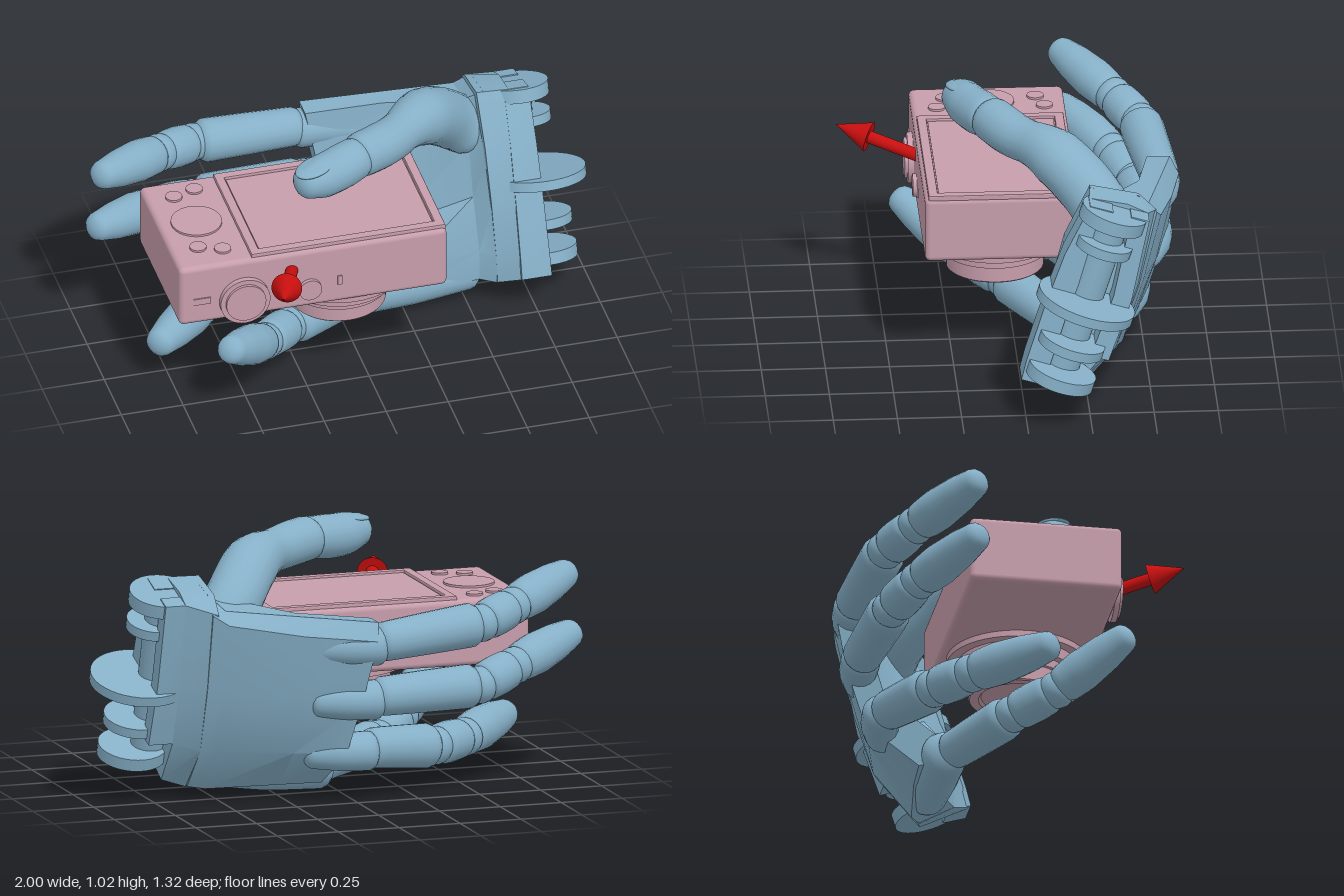
import * as THREE from 'three';
import { toCreasedNormals } from 'three/addons/utils/BufferGeometryUtils.js';
import { RoundedBoxGeometry } from 'three/addons/geometries/RoundedBoxGeometry.js';

const V = (x, y, z) => new THREE.Vector3(x, y, z);
const mat = (color) => new THREE.MeshStandardMaterial({ color });
const handMat = mat(0x86b0c8), cameraMat = mat(0xc69dab), arrowMat = mat(0xc80f0f);

function add(parent, name, geometry, material, x = 0, y = 0, z = 0) {
  const m = new THREE.Mesh(geometry, material);
  m.name = name;
  m.position.set(x, y, z);
  parent.add(m);
  return m;
}

// Closed skin over rings of points; caps join each ring's mirrored halves
function loft(rings, crease = 0.6) {
  const n = rings[0].length, P = rings.flat();
  let idx = [];
  for (let r = 0; r < rings.length - 1; r++) {
    for (let i = 0; i < n; i++) {
      const a = r * n + i, b = r * n + (i + 1) % n;
      idx.push(a, b, b + n, a, b + n, a + n);
    }
  }
  const last = (rings.length - 1) * n;
  for (let i = 0; i < n / 2 - 1; i++) {
    const j = n - 1 - i;
    idx.push(i, j, j - 1, i, j - 1, i + 1);
    idx.push(last + i, last + j - 1, last + j, last + i, last + i + 1, last + j - 1);
  }
  // Turn the skin outward when its signed volume is negative
  let vol = 0;
  for (let i = 0; i < idx.length; i += 3) {
    vol += P[idx[i]].dot(V().crossVectors(P[idx[i + 1]], P[idx[i + 2]]));
  }
  if (vol < 0) idx = idx.reverse();
  const g = new THREE.BufferGeometry().setFromPoints(P);
  g.setIndex(idx);
  return toCreasedNormals(g, crease);
}

// Round limb along a curve, radii spaced evenly along it, with domed ends
function limb(points, radii, steps = 20, sides = 20) {
  const curve = new THREE.CatmullRomCurve3(points);
  const len = curve.getLength(), rings = [];
  for (let s = 0; s <= steps; s++) {
    const t = (1 - Math.cos(Math.PI * s / steps)) / 2;
    const f = t * (radii.length - 1), k = Math.min(Math.floor(f), radii.length - 2);
    const r0 = THREE.MathUtils.lerp(radii[k], radii[k + 1], f - k);
    const end = Math.min(1, Math.min(t, 1 - t) * len / (r0 * 0.6));
    const r = r0 * Math.max(0.02, Math.sqrt(1 - (1 - end) ** 2));
    const c = curve.getPointAt(t), d = curve.getTangentAt(t);
    const u = V(0, 1, 0).addScaledVector(d, -d.y).normalize(), w = V().crossVectors(d, u);
    rings.push(Array.from({ length: sides }, (_, i) => {
      const a = i / sides * Math.PI * 2;
      return c.clone().addScaledVector(u, r * Math.cos(a)).addScaledVector(w, r * Math.sin(a));
    }));
  }
  return loft(rings, 0.8);
}

// Three phalanges with hinge collars; p = base, middle joint, end joint, tip
function finger(parent, name, p, size) {
  const g = new THREE.Group();
  g.name = name;
  parent.add(g);
  const radii = [[0.92, 1, 1.06], [0.94, 0.97, 0.9], [0.9, 1, 0.88, 0.62]];
  const labels = ['lowerPhalanx', 'middlePhalanx', 'fingertip'];
  for (let i = 0; i < 3; i++) {
    const mid = p[i].clone().lerp(p[i + 1], 0.5);
    add(g, labels[i], limb([p[i], mid, p[i + 1]], radii[i].map((r) => r * size)), handMat);
    if (i) {
      const d = p[i + 1].clone().sub(p[i - 1]).normalize();
      const hinge = [-0.06, 0, 0.06].map((s) => p[i].clone().addScaledVector(d, s));
      add(g, 'hinge', limb(hinge, [0.8 * size, 0.9 * size, 0.8 * size], 10), handMat);
    }
  }
}

function buildHand() {
  const hand = new THREE.Group();
  hand.name = 'hand';
  // Cross-sections [z, y]: five points down the back, five up the inside
  const knuckle = [[-0.61, 0.74], [-0.645, 0.67], [-0.59, 0.42], [-0.51, 0.2], [-0.29, 0.05],
    [-0.17, 0.08], [-0.2, 0.16], [-0.41, 0.25], [-0.48, 0.45], [-0.52, 0.74]];
  const centre = [[-0.55, 0.77], [-0.6, 0.7], [-0.54, 0.44], [-0.46, 0.21], [-0.28, 0.05],
    [-0.12, 0.09], [-0.13, 0.21], [-0.32, 0.29], [-0.41, 0.5], [-0.47, 0.77]];
  const heel = [[-0.49, 0.8], [-0.54, 0.75], [-0.47, 0.47], [-0.39, 0.22], [-0.24, 0.045],
    [-0.1, 0.13], [-0.1, 0.26], [-0.19, 0.46], [-0.26, 0.66], [-0.33, 0.83]];
  const cuff = [[-0.45, 0.86], [-0.52, 0.79], [-0.45, 0.48], [-0.36, 0.22], [-0.2, 0.05],
    [-0.06, 0.13], [-0.06, 0.25], [-0.1, 0.48], [-0.16, 0.7], [-0.26, 0.9]];
  const wrist = [[-0.4, 0.87], [-0.48, 0.83], [-0.41, 0.5], [-0.32, 0.25], [-0.18, 0.08],
    [0.02, 0.18], [0, 0.26], [-0.07, 0.48], [-0.15, 0.7], [-0.25, 0.9]];
  const section = (pts, x, slant) => pts.map(([z, y]) => V(x + (0.7 - y) * slant, y, z));
  add(hand, 'palm', loft([section(knuckle, -0.04, 0.18), section(centre, 0.25, 0),
    section(heel, 0.54, 0), section(cuff, 0.6, 0)], 0.5), handMat);
  add(hand, 'wristCuff', loft([section(cuff, 0.58, 0.04), section(wrist, 0.7, 0)], 0.4), handMat);

  // Front and back walls standing around the open wrist hinge
  const wall = (pts, depth) => {
    const slab = [...pts, ...pts.map(([z, y]) => [z + depth, y + depth * 0.3]).reverse()];
    return loft([section(slab, 0.68, 0), section(slab, 0.785, 0.03)], 0.4);
  };
  add(hand, 'cuffFrontWall', wall(wrist.slice(5), -0.09), handMat);
  add(hand, 'cuffBackWall', wall(wrist.slice(1, 4), 0.07), handMat);

  // Wrist hinge pin and lugs
  const tilt = -0.31;
  const pin = add(hand, 'wristPin', new THREE.CylinderGeometry(0.07, 0.07, 0.72, 28), handMat, 0.74, 0.51, -0.235);
  pin.rotation.x = tilt;
  for (const [y, r, x, t] of [[0.84, 0.13, 0.75, 0.055], [0.73, 0.11, 0.77, 0.04],
    [0.5, 0.195, 0.805, 0.04], [0.33, 0.13, 0.8, 0.04], [0.2, 0.135, 0.805, 0.05]]) {
    const lug = add(hand, 'wristLug', new THREE.CylinderGeometry(r, r, t, 40), handMat,
      x, y, -0.23 - (y - 0.5) * 0.32);
    lug.rotation.x = tilt;
  }

  // Rounded knuckle sockets at the end of the back plate
  for (const [y, z] of [[0.64, -0.575], [0.42, -0.545], [0.2, -0.46]]) {
    add(hand, 'knuckleSocket', limb([V(0.2, y, z + 0.05), V(0.05, y, z + 0.012), V(-0.1, y, z)],
      [0.06, 0.075, 0.08]), handMat);
  }
  add(hand, 'littleFingerSocket', limb([V(0.56, 0.13, -0.18), V(0.3, 0.105, -0.19), V(0, 0.095, -0.19)],
    [0.075, 0.09, 0.092]), handMat);

  finger(hand, 'indexFinger', [V(-0.04, 0.65, -0.575), V(-0.5, 0.69, -0.52),
    V(-0.66, 0.73, -0.43), V(-0.97, 0.81, -0.22)], 0.083);
  finger(hand, 'middleFinger', [V(-0.04, 0.43, -0.545), V(-0.5, 0.44, -0.5),
    V(-0.67, 0.49, -0.42), V(-0.99, 0.57, -0.22)], 0.083);
  finger(hand, 'ringFinger', [V(-0.04, 0.21, -0.45), V(-0.38, 0.17, -0.31),
    V(-0.54, 0.17, -0.19), V(-0.82, 0.195, 0.1)], 0.085);
  finger(hand, 'littleFinger', [V(0.06, 0.1, -0.18), V(-0.26, 0.14, 0.02),
    V(-0.4, 0.19, 0.17), V(-0.62, 0.36, 0.43)], 0.082);

  // Thumb with a separate tip and nail
  const thumb = new THREE.Group();
  thumb.name = 'thumb';
  hand.add(thumb);
  add(thumb, 'thumbBody', limb([V(0.6, 0.65, -0.33), V(0.48, 0.755, -0.31), V(0.31, 0.91, -0.14),
    V(0.14, 0.93, 0.01), V(-0.03, 0.945, 0.11)], [0.1, 0.115, 0.115, 0.112, 0.085, 0.09, 0.088], 36), handMat);
  add(thumb, 'thumbTip', limb([V(0.03, 0.945, 0.08), V(-0.13, 0.93, 0.155), V(-0.28, 0.94, 0.225)],
    [0.08, 0.088, 0.085, 0.055]), handMat);
  const nail = add(thumb, 'thumbNail', new THREE.SphereGeometry(1, 24, 12), handMat, -0.205, 0.99, 0.19);
  nail.scale.set(0.085, 0.016, 0.058);
  nail.rotation.set(0, 0.42, 0.12, 'YXZ');
  return hand;
}

function buildCamera() {
  const cam = new THREE.Group();
  cam.name = 'camera';
  add(cam, 'body', new RoundedBoxGeometry(1.08, 0.265, 0.6, 3, 0.022), cameraMat, -0.255, 0.592, 0.063);
  // Screen with raised frame
  const rect = (C, w, h) => new C([[-w, -h], [w, -h], [w, h], [-w, h]].map(([x, y]) => new THREE.Vector2(x, y)));
  const frame = rect(THREE.Shape, 0.385, 0.28);
  frame.holes.push(rect(THREE.Path, 0.36, 0.255));
  const frameGeo = new THREE.ExtrudeGeometry(frame, { depth: 0.014, bevelEnabled: true,
    bevelSize: 0.006, bevelThickness: 0.004, bevelSegments: 2 }).rotateX(-Math.PI / 2);
  add(cam, 'screenFrame', frameGeo, cameraMat, -0.11, 0.72, 0.063);
  add(cam, 'screen', new THREE.BoxGeometry(0.7, 0.01, 0.49), cameraMat, -0.11, 0.724, 0.063);
  // Control pad and round buttons beside the screen
  for (const [x, z, r] of [[-0.645, 0.06, 0.1], [-0.685, -0.125, 0.033], [-0.595, -0.155, 0.033],
    [-0.685, 0.23, 0.033], [-0.595, 0.265, 0.033]]) {
    add(cam, 'button', new THREE.CylinderGeometry(r, r, 0.018, 32), cameraMat, x, 0.724, z);
  }
  // Stepped lens pointing down
  const lens = [[0, 0.3], [0.14, 0.3], [0.15, 0.287], [0.185, 0.287], [0.19, 0.292], [0.19, 0.355],
    [0.205, 0.355], [0.205, 0.39], [0.235, 0.39], [0.235, 0.435], [0.275, 0.435], [0.275, 0.47]];
  add(cam, 'lens', toCreasedNormals(new THREE.LatheGeometry(
    lens.map(([r, y]) => new THREE.Vector2(r, y)), 48), 0.5), cameraMat, -0.08, 0, 0.07);
  // Shutter dial, power button and small details on the front face
  for (const [x, r, d] of [[-0.535, 0.1, 0.022], [-0.535, 0.08, 0.034], [-0.27, 0.045, 0.016]]) {
    add(cam, 'dial', new THREE.CylinderGeometry(r, r, d, 40).rotateX(Math.PI / 2), cameraMat, x, 0.545, 0.363 + d / 2);
  }
  add(cam, 'zoomSlot', new THREE.BoxGeometry(0.07, 0.028, 0.012), cameraMat, -0.705, 0.565, 0.362);
  add(cam, 'indicator', new THREE.BoxGeometry(0.018, 0.04, 0.012), cameraMat, -0.15, 0.565, 0.362);
  return cam;
}

function buildArrow() {
  const arrow = new THREE.Group();
  arrow.name = 'arrow';
  const start = V(-0.335, 0.635, 0.34), tip = V(-0.46, 0.727, 0.665);
  const len = start.distanceTo(tip), head = 0.14;
  add(arrow, 'arrowShaft', new THREE.CylinderGeometry(0.025, 0.025, len - head, 24), arrowMat, 0, (len - head) / 2);
  add(arrow, 'arrowHead', new THREE.ConeGeometry(0.06, head, 32), arrowMat, 0, len - head / 2);
  arrow.position.copy(start);
  arrow.quaternion.setFromUnitVectors(V(0, 1, 0), tip.sub(start).normalize());
  return arrow;
}

export function createModel() {
  const model = new THREE.Group();
  model.name = 'handHoldingCamera';
  model.add(buildHand(), buildCamera(), buildArrow());
  return model;
}
